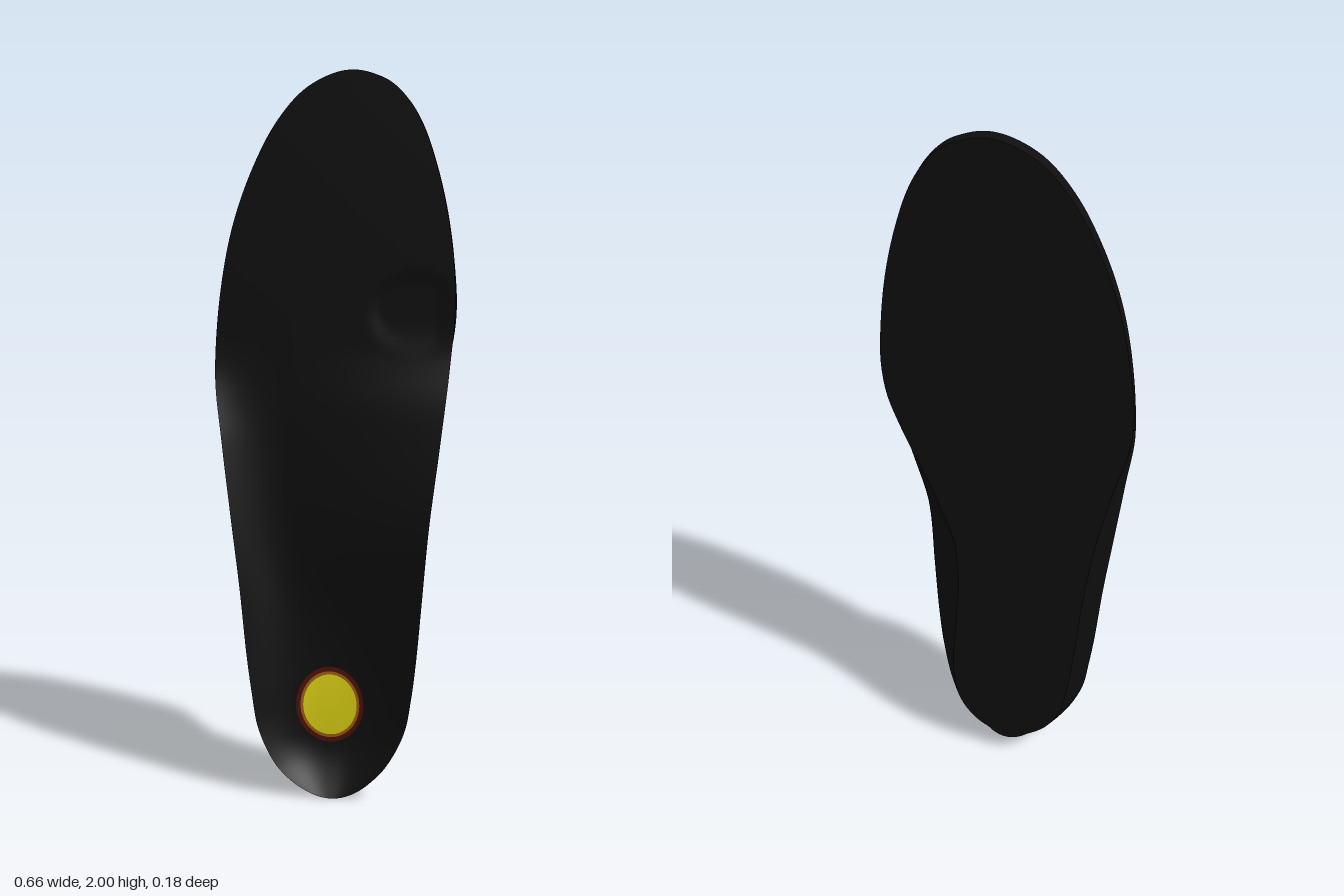
import * as THREE from 'three';
import { mergeVertices } from 'three/addons/utils/BufferGeometryUtils.js';

const clamp = (v) => Math.min(1, Math.max(0, v));
const smooth = (a, b, v) => THREE.MathUtils.smoothstep(v, a, b);
// Length is parametrised by t so that the rounded ends get fine rows.
const yOf = (t) => 1 - Math.cos(Math.PI * t);
const tOf = (y) => Math.acos(THREE.MathUtils.clamp(1 - y, -1, 1)) / Math.PI;

// Smooth interpolation through [y, value] pairs.
function profile(points) {
  const k = points.map(([y, v]) => [tOf(y), v]);
  const n = k.length - 1;
  const slope = k.map((_, i) => {
    const a = k[Math.max(0, i - 1)], b = k[Math.min(n, i + 1)];
    return (b[1] - a[1]) / (b[0] - a[0]);
  });
  return (y) => {
    const t = tOf(y);
    let i = 0;
    while (i < n - 1 && t > k[i + 1][0]) i++;
    const h = k[i + 1][0] - k[i][0], s = clamp((t - k[i][0]) / h), s2 = s * s, s3 = s2 * s;
    return (2 * s3 - 3 * s2 + 1) * k[i][1] + (s3 - 2 * s2 + s) * h * slope[i]
      + (3 * s2 - 2 * s3) * k[i + 1][1] + (s3 - s2) * h * slope[i + 1];
  };
}

// Outline of the outer (-x) and inner (+x) edges
const outerX = profile([[0, 0], [0.02, -0.07], [0.05, -0.115], [0.1, -0.16], [0.2, -0.205], [0.3, -0.222],
  [0.4, -0.235], [0.6, -0.255], [0.8, -0.28], [1, -0.305], [1.2, -0.329], [1.4, -0.315], [1.6, -0.275],
  [1.8, -0.195], [1.9, -0.13], [1.95, -0.08], [1.99, -0.005], [2, 0.05]]);
const innerX = profile([[0, 0], [0.02, 0.07], [0.05, 0.11], [0.1, 0.155], [0.2, 0.205], [0.3, 0.224],
  [0.4, 0.236], [0.6, 0.254], [0.8, 0.272], [1, 0.295], [1.2, 0.316], [1.4, 0.329], [1.6, 0.31],
  [1.8, 0.26], [1.9, 0.215], [1.97, 0.15], [1.99, 0.105], [2, 0.05]]);

// Rim heights along both edges
const outerZ = profile([[0, 0.03], [0.3, 0.03], [0.6, 0.025], [0.8, 0.015], [1, 0], [1.1, -0.017],
  [1.25, -0.05], [1.4, -0.05], [2, -0.05]]);
const innerZ = profile([[0, 0.03], [0.25, 0.031], [0.4, 0.037], [0.6, 0.065], [0.7, 0.085], [0.77, 0.09],
  [0.85, 0.08], [1, 0.035], [1.1, 0.005], [1.2, -0.035], [1.26, -0.05], [1.4, -0.05], [2, -0.05]]);

// How far the back face is drawn in from both edges
const outerInset = profile([[0, 0.05], [0.4, 0.045], [0.8, 0.045], [1, 0.03], [1.25, 0], [1.5, 0], [2, 0]]);
const innerInset = profile([[0, 0.05], [0.3, 0.06], [0.55, 0.1], [0.75, 0.125], [0.95, 0.09], [1.15, 0.03],
  [1.28, 0], [1.5, 0], [2, 0]]);

const BACK = -0.09;

// Height of the foot side: heel cup, arch slope, flat forefoot
function footZ(x, y) {
  const a = outerX(y), b = innerX(y), w = b - a;
  const u = w > 1e-5 ? clamp((x - a) / w) : 0.5;
  const arch = smooth(0.2, 0.7, y);
  const heelEnd = Math.pow(clamp(1 - y / 0.16), 2);
  const floor = THREE.MathUtils.lerp(-0.045, 0.03, heelEnd) - 0.005 * smooth(0.8, 1.25, y);
  const low = 0.5 - 0.22 * arch;
  const inner = Math.pow(clamp((u - low) / (1 - low)), 2.6 - 1.45 * arch);
  const outer = Math.pow(clamp((low - u) / low), 2.6 - 0.5 * arch);
  // Shallow recess under the ball of the big toe
  const d = Math.hypot((x - 0.22) / 0.13, (y - 1.36) / 0.11);
  const recess = 0.008 * (1 - smooth(0.75, 1, d)) * smooth(1.2, 1.34, y) * (1 - smooth(0.93, 1, u));
  return floor + (innerZ(y) - floor) * inner + (outerZ(y) - floor) * outer - recess;
}

// Point on the edge wall: side 1 inner, -1 outer; s runs from rim to back
function wallPoint(side, t, s) {
  const y = yOf(t), half = (innerX(y) - outerX(y)) / 2;
  const rimX = side > 0 ? innerX(y) : outerX(y);
  const rimZ = side > 0 ? innerZ(y) : outerZ(y);
  const inset = Math.min((side > 0 ? innerInset : outerInset)(y), half * 0.45);
  const pull = Math.pow(s, 1.25);
  const lift = 0.06 * Math.pow(clamp(1 - y / 0.3), 2);
  return [rimX - side * inset * pull, y + lift * s, THREE.MathUtils.lerp(rimZ, BACK, s)];
}

// Smooth surface from a grid of points; front lies on (column x row)
function surface(rows, cols, point) {
  const pos = [], index = [];
  for (let i = 0; i <= rows; i++) {
    for (let j = 0; j <= cols; j++) {
      pos.push(...point(i / rows, j / cols));
      if (i < rows && j < cols) {
        const a = i * (cols + 1) + j, c = a + cols + 1;
        index.push(a, a + 1, c + 1, a, c + 1, c);
      }
    }
  }
  let g = new THREE.BufferGeometry();
  g.setAttribute('position', new THREE.Float32BufferAttribute(pos, 3));
  g.setIndex(index);
  g = mergeVertices(g, 1e-5);
  g.computeVertexNormals();
  return g;
}

export function createModel() {
  const group = new THREE.Group();
  const add = (name, geometry, color) => {
    const mesh = new THREE.Mesh(geometry, new THREE.MeshStandardMaterial({ color }));
    mesh.name = name;
    group.add(mesh);
  };
  const black = 0x0e0e0e;

  // Foot side
  add('footSurface', surface(140, 48, (t, u) => {
    const y = yOf(t), x = THREE.MathUtils.lerp(outerX(y), innerX(y), u);
    const z = u === 0 ? outerZ(y) : u === 1 ? innerZ(y) : footZ(x, y);
    return [x, y, z];
  }), black);

  // Edge wall, up the inner side and down the outer side
  add('edgeWall', surface(240, 8, (r, s) =>
    r <= 0.5 ? wallPoint(1, r * 2, s) : wallPoint(-1, 2 - r * 2, s)), black);

  // Flat back
  add('backSurface', surface(120, 4, (t, u) => {
    const a = wallPoint(1, t, 1), b = wallPoint(-1, t, 1);
    return [THREE.MathUtils.lerp(a[0], b[0], u), a[1], BACK];
  }), black);

  // Heel spot: concentric bands laid on the foot side, slightly domed
  const band = (name, r0, r1, color) => add(name, surface(48, 8, (a, k) => {
    const r = r0 + (r1 - r0) * k, angle = a * Math.PI * 2;
    const x = -0.01 + 0.095 * r * Math.cos(angle), y = 0.25 + 0.11 * r * Math.sin(angle);
    return [x, y, footZ(x, y) + 0.001 + 0.005 * (1 - r * r)];
  }), color);
  band('heelSpotCentre', 0, 0.8, 0xd6cc14);
  band('heelSpotInnerRing', 0.8, 0.88, 0x9a5a10);
  band('heelSpotOuterRing', 0.88, 1, 0x4a1008);

  return group;
}
